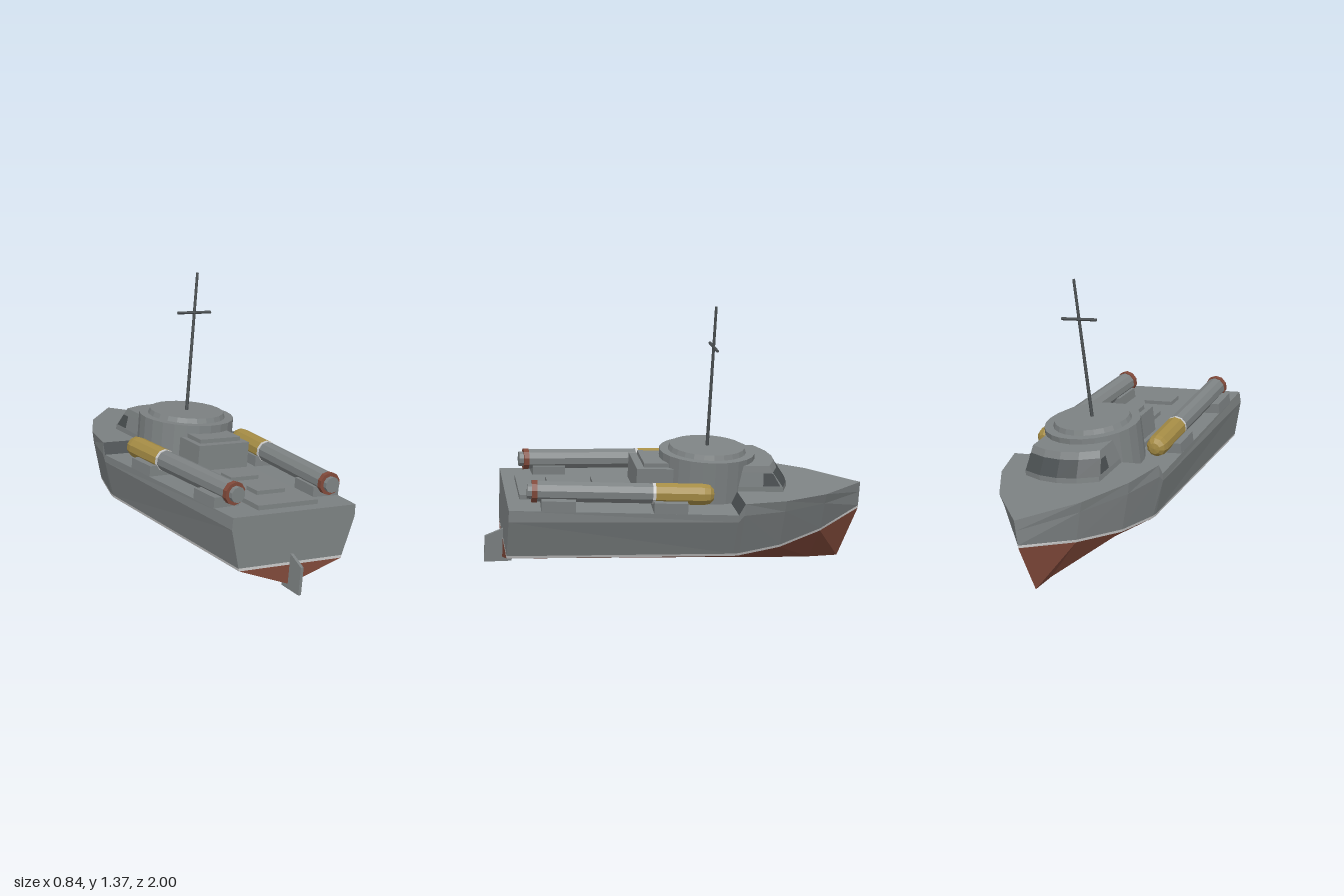
import * as THREE from 'three';

const mat = (color) => new THREE.MeshStandardMaterial({ color, flatShading: true, side: THREE.DoubleSide });
const grey = mat(0x7d8283), dark = mat(0x4b5052), red = mat(0x80493a), gold = mat(0xa58c45), white = mat(0xd8d8d8);

function add(parent, name, geo, material, x = 0, y = 0, z = 0) {
  const m = new THREE.Mesh(geo, material);
  m.name = name;
  m.position.set(x, y, z);
  parent.add(m);
  return m;
}
const box = (w, h, d) => new THREE.BoxGeometry(w, h, d);
const cyl = (a, b, h, n) => new THREE.CylinderGeometry(a, b, h, n);

// Surface through rows of points, all rows equally long
function loft(rows) {
  const pos = rows.flat(2), idx = [], n = rows[0].length;
  for (let i = 0; i < rows.length - 1; i++) {
    for (let j = 0; j < n - 1; j++) {
      const a = i * n + j, b = a + n;
      idx.push(a, a + 1, b, b, a + 1, b + 1);
    }
  }
  const g = new THREE.BufferGeometry();
  g.setAttribute('position', new THREE.Float32BufferAttribute(pos, 3));
  g.setIndex(idx);
  g.computeVertexNormals();
  return g;
}

// Hull stations: z, keel y, chine x y, knuckle x y, sheer x y
const stations = [
  [0.91, 0.01, 0.30, 0.11, 0.36, 0.32, 0.358, 0.38],
  [-0.235, 0.002, 0.35, 0.137, 0.418, 0.34, 0.42, 0.378],
  [-0.265, 0.002, 0.348, 0.139, 0.418, 0.375, 0.42, 0.437],
  [-0.49, 0, 0.29, 0.163, 0.352, 0.375, 0.365, 0.435],
  [-0.735, 0.003, 0.17, 0.21, 0.215, 0.375, 0.232, 0.43],
  [-0.985, 0.012, 0, 0.28, 0, 0.37, 0, 0.425],
];

function buildHull(boat) {
  const hull = new THREE.Group();
  hull.name = 'hull';
  boat.add(hull);
  const line = 0.014;
  for (const s of [1, -1]) {
    const row = (f) => stations.map(f);
    const keel = row(([z, k]) => [0, k, Math.max(z, -0.89)]);
    const chine = row(([z, , x, y]) => [s * x, y, z]);
    const paint = row(([z, , x, y, kx, ky]) => [s * (x + (kx - x) * line / (ky - y)), y + line, z]);
    const knuckle = row(([z, , , , x, y]) => [s * x, y, z]);
    const sheer = row(([z, , , , , , x, y]) => [s * x, y, z]);
    add(hull, 'bottom', loft([keel, chine]), red);
    add(hull, 'waterline', loft([chine, paint]), white);
    add(hull, 'side', loft([paint, knuckle, sheer]), grey);
    // Half of the deck and of the transom, from the centreline out
    const centre = sheer.map(([, y, z]) => [0, y, z]);
    add(hull, 'aftDeck', loft([centre.slice(0, 2), sheer.slice(0, 2)]), grey);
    add(hull, 'deckStep', loft([centre.slice(1, 3), sheer.slice(1, 3)]), dark);
    add(hull, 'foreDeck', loft([centre.slice(2), sheer.slice(2)]), grey);
    const mid = (p) => [0, p[1], p[2]];
    add(hull, 'transomBottom', loft([[keel[0], keel[0]], [mid(chine[0]), chine[0]]]), red);
    add(hull, 'transomLine', loft([[mid(chine[0]), chine[0]], [mid(paint[0]), paint[0]]]), white);
    add(hull, 'transom', loft([paint, knuckle, sheer].map((r) => [mid(r[0]), r[0]])), grey);
  }
  // Rudder blade
  const blade = new THREE.Shape([[0.86, -0.01], [1.003, -0.015], [1.003, 0.125], [0.9, 0.17], [0.86, 0.17]]
    .map(([z, y]) => new THREE.Vector2(-z, y)));
  const g = new THREE.ExtrudeGeometry(blade, { depth: 0.016, bevelEnabled: false });
  g.translate(0, 0, -0.008).rotateY(Math.PI / 2);
  add(hull, 'rudder', g, grey);
}

// Outline of the bridge: straight sides and a bowed front
function bridgeRow(y, half, side, front) {
  const pts = [[-half, y, -0.1]];
  for (let i = 0; i <= 4; i++) {
    const t = i / 2 - 1;
    pts.push([half * t, y, front + (side - front) * t * t]);
  }
  pts.push([half, y, -0.1]);
  return pts;
}

function buildHouse(boat) {
  const house = new THREE.Group();
  house.name = 'deckhouse';
  boat.add(house);
  add(house, 'platform', box(0.35, 0.03, 1.1), grey, 0, 0.388, 0.295);
  for (const z of [0.41, 0.645]) add(house, 'hatch', box(0.165, 0.022, 0.095), grey, 0, 0.412, z);
  add(house, 'engineHousing', box(0.3, 0.14, 0.3), grey, 0, 0.465, 0.1);
  add(house, 'housingLid', box(0.24, 0.022, 0.24), grey, 0, 0.545, 0.09);
  add(house, 'tower', cyl(0.25, 0.25, 0.22, 24), grey, 0, 0.487, -0.137);
  add(house, 'towerLid', cyl(0.195, 0.205, 0.026, 24), grey, 0, 0.609, -0.137);

  // Bridge with raked window band
  const base = bridgeRow(0.4, 0.212, -0.51, -0.567);
  const sill = bridgeRow(0.46, 0.21, -0.505, -0.56);
  const head = bridgeRow(0.535, 0.198, -0.45, -0.505);
  const roof = bridgeRow(0.568, 0.192, -0.43, -0.485);
  add(house, 'bridgeWall', loft([base, sill]), grey);
  add(house, 'windowBand', loft([sill, head].map((r) => r.slice(1, -1))), dark);
  for (const at of [0, 5]) {
    add(house, 'bridgeSide', loft([sill, head].map((r) => r.slice(at, at + 2))), grey);
  }
  add(house, 'bridgeRoof', loft([head, roof, roof.map(([x, y]) => [x, y, -0.1])]), grey);
  // Side windows
  for (const s of [1, -1]) {
    const pane = [[[-0.40, 0.465], [-0.49, 0.465]], [[-0.40, 0.53], [-0.45, 0.53]]];
    const rows = pane.map((r) => r.map(([z, y]) => [s * (0.213 - (y - 0.46) * 0.16), y, z]));
    add(house, 'sideWindow', loft(rows), dark);
  }

  // Mast and yard
  add(house, 'mast', cyl(0.007, 0.009, 0.75, 6), dark, 0, 0.98, -0.137);
  add(house, 'yard', cyl(0.008, 0.008, 0.2, 6), dark, 0, 1.145, -0.137).rotation.z = Math.PI / 2;
}

// Launch tube along z, its middle at the group origin
function buildTube(boat, s) {
  const tube = new THREE.Group();
  tube.name = s > 0 ? 'leftTube' : 'rightTube';
  tube.position.set(s * 0.302, 0.457, 0.343);
  tube.rotation.y = -s * 0.052;
  boat.add(tube);
  const part = (name, r, z0, z1, m) => {
    add(tube, name, cyl(r, r, z1 - z0, 10), m, 0, 0, (z0 + z1) / 2).rotation.x = Math.PI / 2;
  };
  part('barrel', 0.053, -0.15, 0.425, grey);
  part('rearRing', 0.058, 0.425, 0.452, red);
  part('rearPlug', 0.04, 0.452, 0.475, grey);
  part('whiteBand', 0.056, -0.165, -0.15, white);
  const nose = [[0.056, -0.165], [0.056, -0.41], [0.05, -0.44], [0.03, -0.46], [0, -0.465]];
  const g = new THREE.LatheGeometry(nose.map(([r, z]) => new THREE.Vector2(r, z)), 10);
  add(tube, 'noseCover', g, gold).rotation.x = Math.PI / 2;
  // Cradles under the tube
  for (const z of [-0.24, 0.32]) add(tube, 'cradle', box(0.15, 0.055, 0.17), grey, s * 0.012, -0.052, z);
}

export function createModel() {
  const model = new THREE.Group();
  model.name = 'patrolBoat';
  // The boat heels to its left with the bow slightly down
  const boat = new THREE.Group();
  boat.name = 'boat';
  boat.rotation.set(-0.039, -0.017, -0.117);
  boat.position.set(-0.055, 0.025, 0);
  model.add(boat);
  buildHull(boat);
  buildHouse(boat);
  for (const s of [1, -1]) buildTube(boat, s);
  return model;
}
